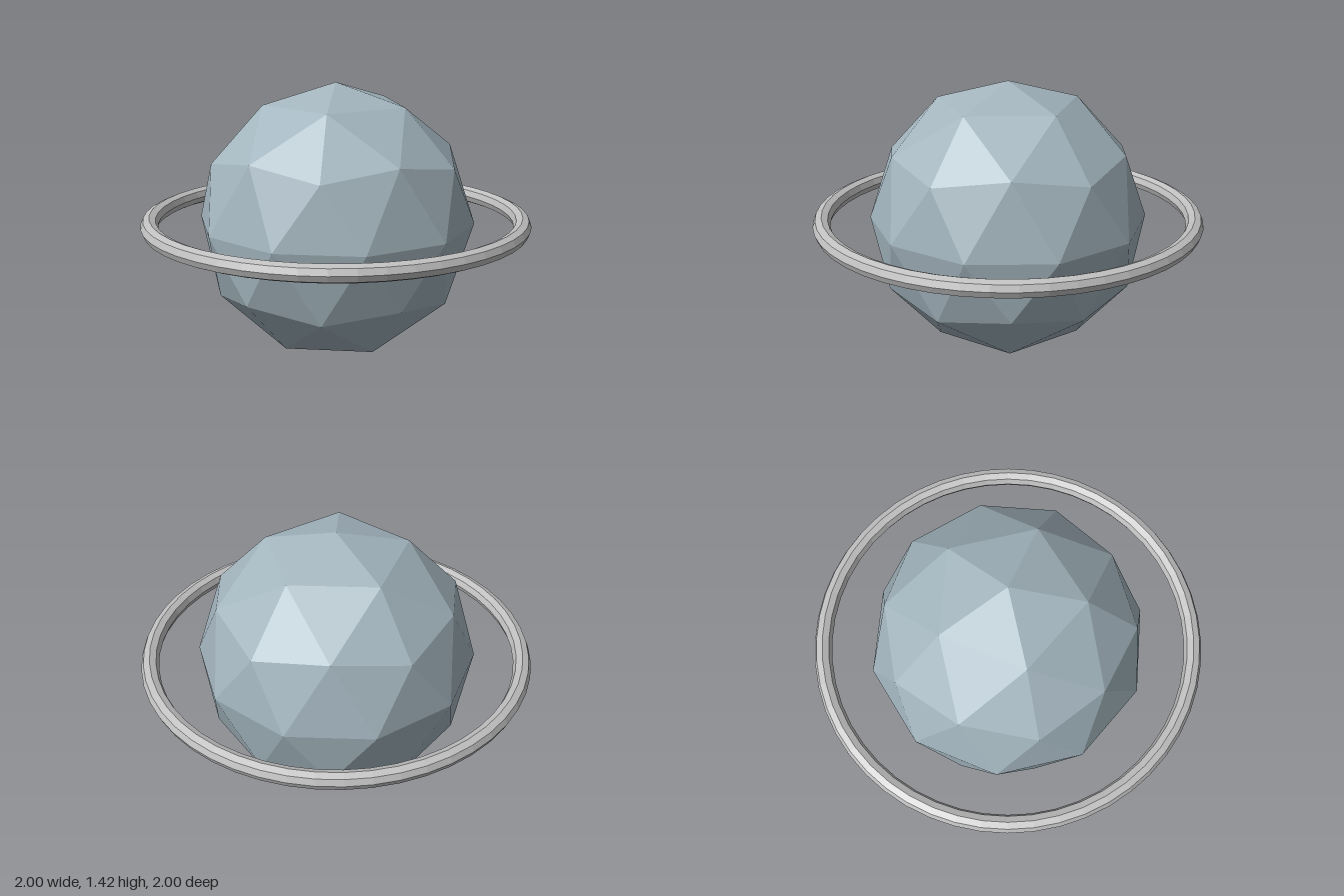
import * as THREE from 'three';

const RADIUS = 0.712;
const CENTRE_Y = 0.717;

export function createModel() {
  const group = new THREE.Group();
  group.name = 'ringedPlanet';

  const planetGrey = new THREE.MeshStandardMaterial({ color: 0xa3b5be, flatShading: true });
  planetGrey.name = 'blueGrey';
  const ringGrey = new THREE.MeshStandardMaterial({ color: 0xc0c0c0, flatShading: true });
  ringGrey.name = 'lightGrey';

  // Faceted planet, turned so that a corner points straight up
  const golden = (1 + Math.sqrt(5)) / 2;
  const planetGeometry = new THREE.IcosahedronGeometry(RADIUS, 1);
  planetGeometry.rotateZ(-Math.atan(1 / golden));
  const planet = new THREE.Mesh(planetGeometry, planetGrey);
  planet.name = 'planet';
  planet.position.y = CENTRE_Y;
  group.add(planet);

  // Thin eight-sided ring lying flat around the equator
  const tube = 0.045;
  const ringGeometry = new THREE.TorusGeometry(1 - tube, tube, 8, 48);
  ringGeometry.rotateX(Math.PI / 2);
  const ring = new THREE.Mesh(ringGeometry, ringGrey);
  ring.name = 'ring';
  ring.position.y = CENTRE_Y;
  group.add(ring);

  return group;
}
